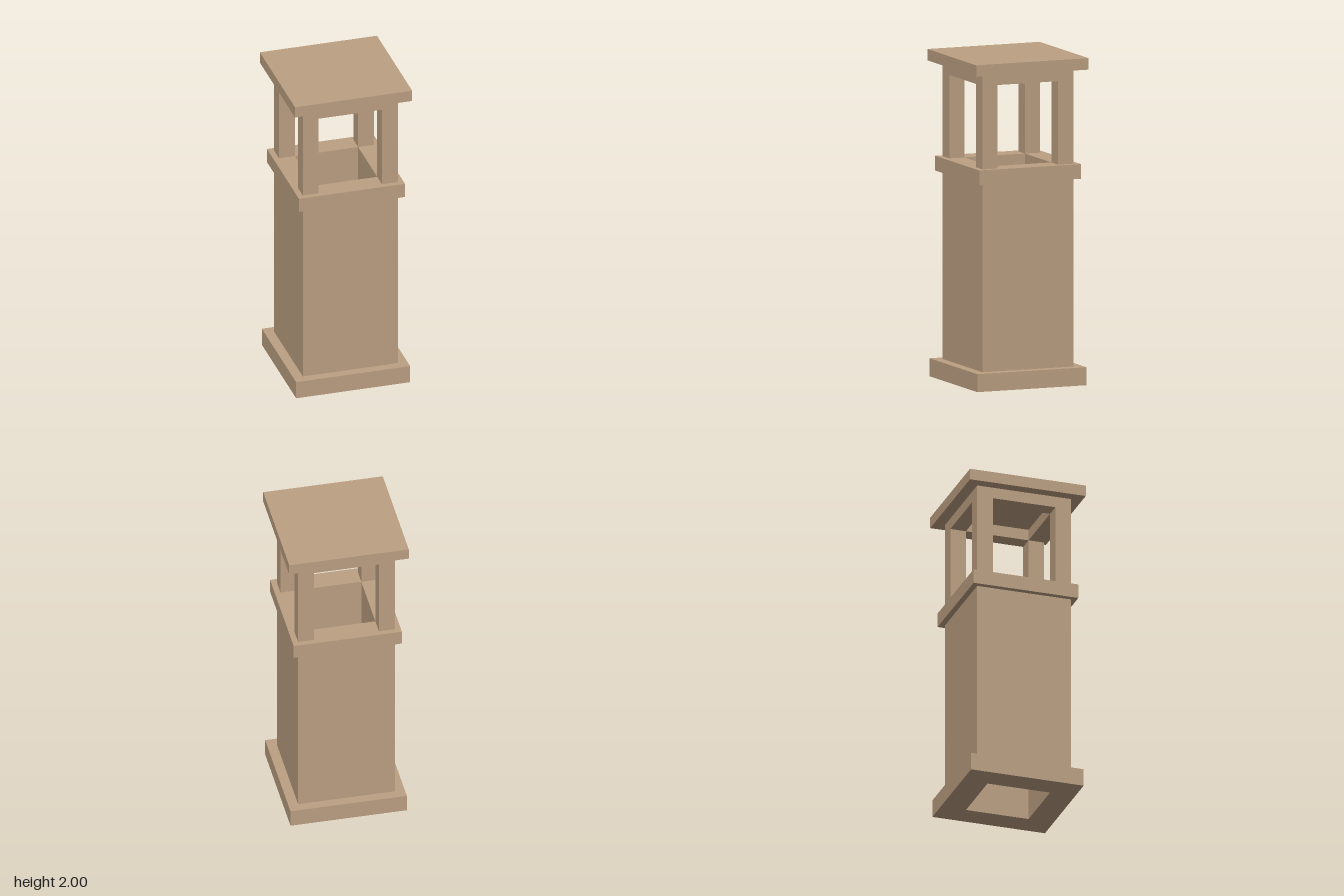
import * as THREE from 'three';

const stone = new THREE.MeshStandardMaterial({ color: 0xbb9f81 });
stone.name = 'sandstone';

const INNER = 0.2; // half width of the hollow core
const OUTER = 0.3; // half width of the shaft and posts

function square(path, h) {
  path.moveTo(-h, -h);
  path.lineTo(h, -h);
  path.lineTo(h, h);
  path.lineTo(-h, h);
  path.closePath();
  return path;
}

function addMesh(group, name, geometry) {
  const mesh = new THREE.Mesh(geometry, stone);
  mesh.name = name;
  group.add(mesh);
  return mesh;
}

// Square tube around the hollow core, from y0 to y1
function addRing(group, name, half, y0, y1) {
  const shape = square(new THREE.Shape(), half);
  shape.holes.push(square(new THREE.Path(), INNER));
  const geometry = new THREE.ExtrudeGeometry(shape, { depth: y1 - y0, bevelEnabled: false });
  geometry.rotateX(-Math.PI / 2);
  addMesh(group, name, geometry).position.y = y0;
}

export function createModel() {
  const tower = new THREE.Group();
  tower.name = 'chimneyTower';

  // Hollow body
  addRing(tower, 'plinth', 0.36, 0, 0.11);
  addRing(tower, 'shaft', OUTER, 0.11, 1.26);
  addRing(tower, 'collar', 0.335, 1.26, 1.35);

  // Four corner posts of the open lantern
  const posts = new THREE.Group();
  posts.name = 'cornerPosts';
  const width = OUTER - INNER;
  const centre = (OUTER + INNER) / 2;
  const postGeometry = new THREE.BoxGeometry(width, 0.51, width);
  for (const x of [-1, 1]) {
    for (const z of [-1, 1]) {
      const name = (z > 0 ? 'front' : 'back') + (x > 0 ? 'Left' : 'Right') + 'Post';
      addMesh(posts, name, postGeometry).position.set(x * centre, 1.605, z * centre);
    }
  }
  tower.add(posts);

  // Lintel ring and solid cap slab
  addRing(tower, 'lintel', OUTER, 1.86, 1.93);
  addMesh(tower, 'cap', new THREE.BoxGeometry(0.74, 0.07, 0.74)).position.y = 1.965;

  return tower;
}
